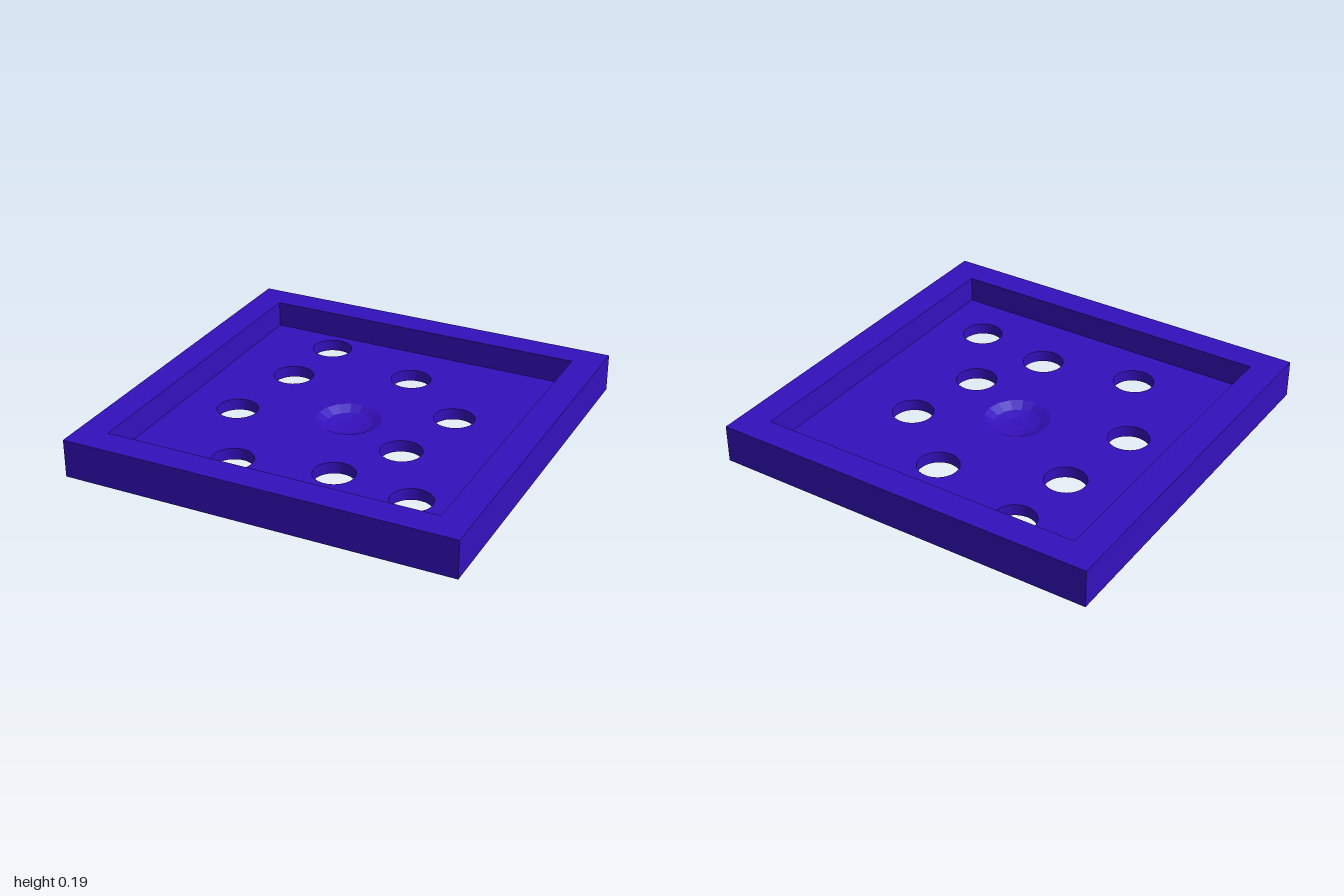
import * as THREE from 'three';

const HEIGHT = 0.195, FLOOR = 0.06, INNER = 0.85;
const HOLE_R = 0.104, HOLE_SIDES = 32;
const DISH = { x: -0.01, z: -0.01, r: 0.165, sides: 16 };

// Hole centres as [x, z]
const HOLES = [
  [-0.45, -0.705], [0.085, -0.55], [-0.485, -0.325],
  [0.457, -0.243], [-0.56, 0.136], [0.361, 0.178],
  [-0.324, 0.6], [0.168, 0.511], [0.593, 0.577],
];

const material = new THREE.MeshStandardMaterial({ color: 0x3410bd, flatShading: true });
const smooth = new THREE.MeshStandardMaterial({ color: 0x3410bd });

// Regular polygon path, starting at the same angle as a lathe seam
function circle(x, y, r, sides) {
  const pts = [];
  for (let i = 0; i < sides; i++) {
    const a = (i / sides) * Math.PI * 2;
    pts.push(new THREE.Vector2(x + r * Math.sin(a), y + r * Math.cos(a)));
  }
  return new THREE.Path(pts);
}

// Flat square pierced by the holes; up = 1 faces upward, -1 downward
function sheet(name, half, y, up, withDish) {
  const shape = new THREE.Shape([[-1, -1], [1, -1], [1, 1], [-1, 1]]
    .map(([a, b]) => new THREE.Vector2(a * half, b * half)));
  for (const [x, z] of HOLES) shape.holes.push(circle(x, -up * z, HOLE_R, HOLE_SIDES));
  if (withDish) shape.holes.push(circle(DISH.x, -up * DISH.z, DISH.r, DISH.sides));
  const geometry = new THREE.ShapeGeometry(shape).rotateX(-up * Math.PI / 2);
  return part(name, geometry, 0, y, 0);
}

function lathe(profile, sides, start = 0) {
  return new THREE.LatheGeometry(profile.map(([r, y]) => new THREE.Vector2(r, y)), sides, start);
}

function part(name, geometry, x = 0, y = 0, z = 0, mat = material) {
  const mesh = new THREE.Mesh(geometry, mat);
  mesh.name = name;
  mesh.position.set(x, y, z);
  return mesh;
}

export function createModel() {
  const group = new THREE.Group();
  group.name = 'holedTray';

  // Raised square border: outer wall, top rim and inner wall
  const d = Math.SQRT2;
  group.add(part('border', lathe(
    [[d, 0], [d, HEIGHT], [INNER * d, HEIGHT], [INNER * d, FLOOR]], 4, Math.PI / 4)));

  // Sunken floor and underside
  group.add(sheet('floor', INNER, FLOOR, 1, true));
  group.add(sheet('underside', 1, 0, -1, false));

  // Inside walls of the through holes
  const wall = lathe([[HOLE_R, FLOOR], [HOLE_R, 0]], HOLE_SIDES);
  HOLES.forEach(([x, z], i) => group.add(part(`holeWall${i + 1}`, wall, x, 0, z, smooth)));

  // Shallow faceted dimple in the middle of the floor
  const dish = lathe([[DISH.r, 0], [0.115, -0.026], [0.06, -0.037], [0, -0.04]], DISH.sides);
  group.add(part('dimple', dish, DISH.x, FLOOR, DISH.z));

  return group;
}
